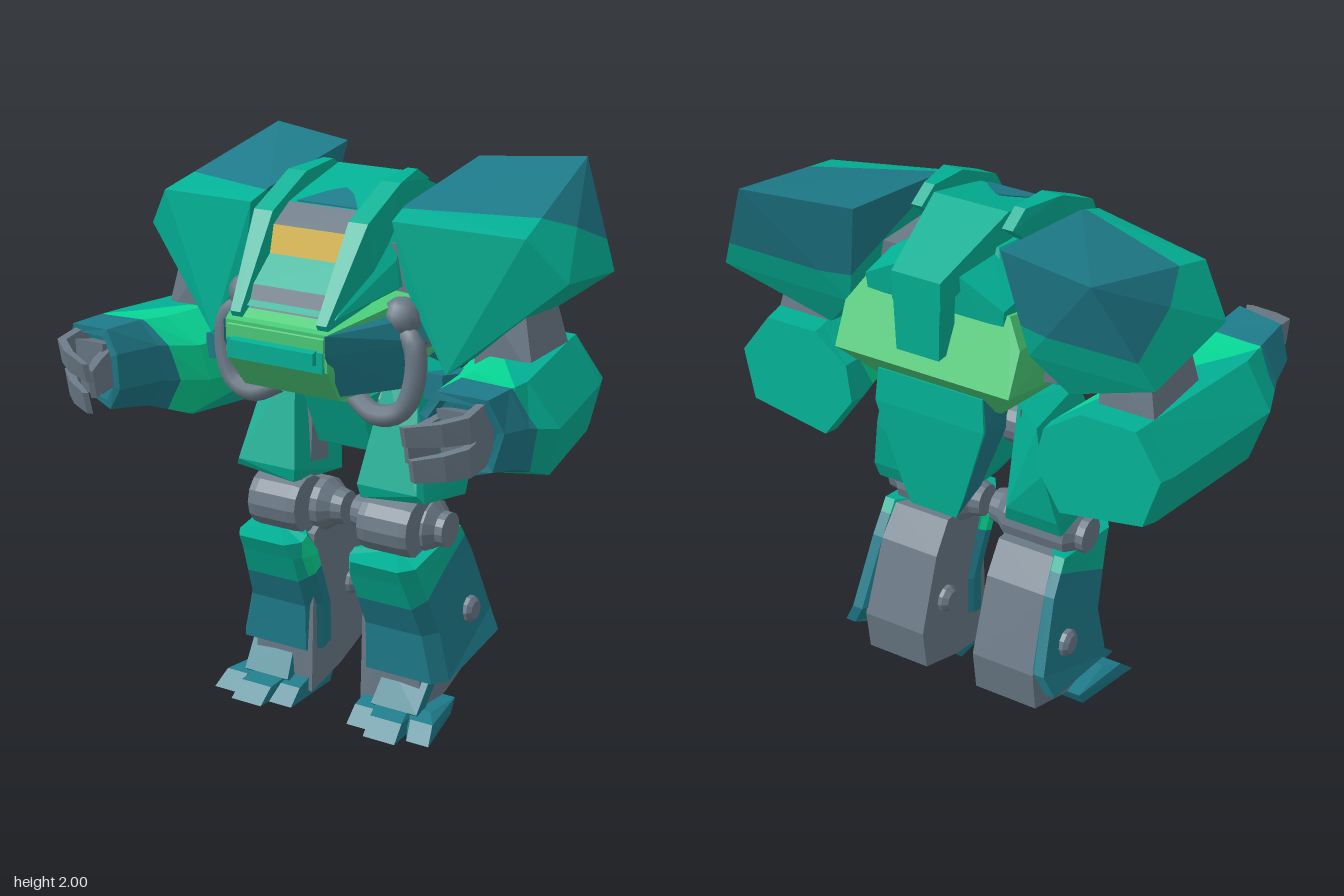
import * as THREE from 'three';
import { ConvexGeometry } from 'three/addons/geometries/ConvexGeometry.js';

const mat = (name, color) => Object.assign(new THREE.MeshStandardMaterial({ color }), { name });
const M = {
  green: mat('teal green', 0x02b095), bright: mat('bright green', 0x06d896),
  blue: mat('deep teal blue', 0x1e7b8a), lime: mat('lime green', 0x4acb78),
  gray: mat('joint gray', 0x6a7986), yellow: mat('visor yellow', 0xd8b646),
};

function part(group, name, geo, material) {
  const mesh = new THREE.Mesh(geo, material);
  mesh.name = name;
  group.add(mesh);
}
function flat(geo) {
  const g = geo.index ? geo.toNonIndexed() : geo;
  g.computeVertexNormals();
  return g;
}
const fromTriangles = (pts) => flat(new THREE.BufferGeometry().setFromPoints(pts));
// Convex armour block, s mirrors x
const hull = (pts, s = 1) => new ConvexGeometry(pts.map(([x, y, z]) => new THREE.Vector3(x * s, y, z)));
// Convex block symmetric about x = 0
const symHull = (pts) => hull(pts.flatMap(([x, y, z]) => [[x, y, z], [-x, y, z]]));
// Corners of a slab between x0 and x1 over a [z, y] side profile
const slab = (x0, x1, profile) => profile.flatMap(([z, y]) => [[x0, y, z], [x1, y, z]]);

// Capped skin through rings of equal length, turned outward
function loft(rings, s = 1) {
  const R = rings.map((r) => r.map(([x, y, z]) => new THREE.Vector3(x * s, y, z)));
  const n = R[0].length, last = R[R.length - 1], tris = [];
  const center = (r) => r.reduce((a, p) => a.add(p), new THREE.Vector3()).divideScalar(n);
  const c0 = center(R[0]), c1 = center(last);
  for (let j = 0; j < n; j++) {
    const k = (j + 1) % n;
    for (let i = 0; i < R.length - 1; i++) {
      tris.push([R[i][j], R[i][k], R[i + 1][k]], [R[i][j], R[i + 1][k], R[i + 1][j]]);
    }
    tris.push([c0, R[0][k], R[0][j]], [c1, last[j], last[k]]);
  }
  const volume = tris.reduce((v, [a, b, c]) => v + a.clone().sub(c0).dot(
    b.clone().sub(c0).cross(c.clone().sub(c0))), 0);
  return fromTriangles(tris.flatMap(([a, b, c]) => (volume > 0 ? [a, b, c] : [a, c, b])));
}

// Cut the skin by planes [normal, d] in turn: points beyond plane i take material i, the rest the last one
function paint(geo, cuts) {
  const pos = geo.attributes.position, bins = [];
  let rest = Array.from({ length: pos.count }, (_, i) => new THREE.Vector3().fromBufferAttribute(pos, i));
  for (const [normal, d] of cuts) {
    const n = new THREE.Vector3(...normal), out = [[], []];
    for (let i = 0; i < rest.length; i += 3) {
      [1, -1].forEach((sign, side) => {
        const poly = [];
        for (let k = 0; k < 3; k++) {
          const a = rest[i + k], b = rest[i + (k + 1) % 3];
          const da = sign * (n.dot(a) - d), db = sign * (n.dot(b) - d);
          if (da >= 0) poly.push(a);
          if (da * db < 0) poly.push(a.clone().lerp(b, da / (da - db)));
        }
        for (let k = 1; k + 1 < poly.length; k++) out[side].push(poly[0], poly[k], poly[k + 1]);
      });
    }
    bins.push(out[0]);
    rest = out[1];
  }
  bins.push(rest);
  const g = fromTriangles(bins.flat());
  let start = 0;
  bins.forEach((b, i) => { g.addGroup(start, b.length, i); start += b.length; });
  return g;
}

// Round joint along x, profile given as [radius, x]
function axle(profile, y, z, s, sides = 14) {
  const g = new THREE.LatheGeometry(profile.map(([r, x]) => new THREE.Vector2(r, x)), sides);
  g.rotateZ(-Math.PI / 2);
  if (s < 0) g.rotateY(Math.PI);
  return flat(g.translate(0, y, z));
}

function buildTorso(g) {
  part(g, 'torsoBody', symHull([[0.27, 1.72, -0.45], [0.33, 1.63, -0.49], [0.33, 1.49, -0.56], [0.22, 1.33, -0.42],
    [0.2, 1.53, 0.375], [0.2, 1.4, 0.37], [0.19, 1.28, 0.28], [0.32, 1.6, 0.04], [0.27, 1.3, 0]]), M.lime);
  part(g, 'upperTorso', symHull([[0.26, 1.72, 0.03], [0.21, 1.76, -0.3], [0.2, 1.86, -0.05], [0.14, 1.86, -0.3],
    [0.2, 1.57, 0.32], [0.28, 1.63, 0.05], [0.22, 1.6, -0.4]]), M.green);
  part(g, 'rearDeck', symHull([[0.27, 1.76, -0.29], [0.26, 1.74, -0.47], [0.1, 1.86, -0.28], [0.1, 1.83, -0.48],
    [0.25, 1.6, -0.3], [0.25, 1.6, -0.46]]), M.green);
  part(g, 'shoulderYoke', hull(slab(-0.36, 0.36, [[0.02, 1.77], [-0.3, 1.77], [-0.3, 1.42], [0.02, 1.42]])), M.gray);
  part(g, 'shoulderBeam', hull(slab(-0.6, 0.6, [[-0.08, 1.68], [-0.26, 1.68], [-0.26, 1.52], [-0.08, 1.52]])), M.gray);

  // Canopy: hatch, visor and nose strips between points [z, y, half width]
  const strips = [
    ['backPlate', M.green, [-0.57, 1.56, 0.08], [-0.57, 1.84, 0.09]],
    ['rearHatch', M.green, [-0.57, 1.84, 0.09], [-0.24, 1.96, 0.14]],
    ['roofHatch', M.green, [-0.24, 1.96, 0.14], [0.06, 1.875, 0.155]],
    ['upperFrame', M.gray, [0.06, 1.875, 0.155], [0.155, 1.815, 0.155]],
    ['visor', M.yellow, [0.155, 1.815, 0.155], [0.18, 1.72, 0.155]],
    ['nosePanel', M.green, [0.18, 1.72, 0.155], [0.28, 1.635, 0.155]],
    ['lowerFrame', M.gray, [0.28, 1.635, 0.155], [0.31, 1.56, 0.155]],
    ['chinPanel', M.lime, [0.31, 1.56, 0.19], [0.38, 1.515, 0.19]],
  ];
  for (const [name, m, a, b] of strips) {
    const dz = a[0] === b[0] ? 0.09 : 0, dy = dz ? 0 : -0.1;
    part(g, name, symHull([a, b].flatMap(([z, y, w]) => [[w, y, z], [w, y + dy, z + dz]])), m);
  }
  part(g, 'roofMark', symHull([[0.12, 1.882, 0.055], [0, 1.917, -0.07], [0.05, 1.907, -0.035],
    [0.12, 1.874, 0.055], [0, 1.909, -0.07]]), M.blue);
  part(g, 'noseBand', hull(slab(-0.19, 0.19, [[0.384, 1.47], [0.384, 1.4], [0.35, 1.4], [0.35, 1.47]])), M.green);
  part(g, 'noseBumper', hull(slab(-0.165, 0.165, [[0.36, 1.48], [0.405, 1.47], [0.405, 1.43], [0.36, 1.42]])), M.green);

  // Pelvis and tail armour
  part(g, 'waist', symHull([[0.13, 1.34, 0.12], [0.11, 1.19, 0.04], [0.13, 1.34, -0.35], [0.11, 1.19, -0.3]]), M.lime);
  part(g, 'pelvis', symHull([[0.12, 1.2, 0.03], [0.12, 1.2, -0.35], [0.11, 0.99, -0.06], [0.07, 0.93, -0.2],
    [0.07, 0.95, -0.35]]), M.green);
  part(g, 'hipAxle', axle([[0, -0.26], [0.08, -0.26], [0.08, 0.26], [0, 0.26]], 1.14, -0.16, 1), M.gray);
  part(g, 'tailArmour', paint(symHull([[0.2, 1.42, -0.505], [0.18, 1.42, -0.3], [0.21, 1.3, -0.515], [0.12, 1.0, -0.504],
    [0.09, 0.92, -0.5], [0.09, 0.96, -0.34], [0.17, 1.2, -0.31]]), [[[0, 0, -1], 0.497]]), [M.green, M.blue]);
}

function buildTorsoSide(g, s) {
  part(g, 'canopyRail', hull([...slab(0.15, 0.19, [[-0.3, 1.93], [-0.22, 1.975], [0.36, 1.555], [0.33, 1.5]]),
    ...slab(0.15, 0.225, [[-0.05, 1.96], [0.16, 1.86], [0.1, 1.6]])], s), M.green);
  part(g, 'cheekArmour', hull([[0.2, 1.53, 0.385], [0.2, 1.46, 0.385], [0.28, 1.56, 0.12], [0.37, 1.54, 0.02],
    [0.39, 1.46, 0.05], [0.36, 1.3, 0.06], [0.2, 1.3, 0.29], [0.2, 1.5, 0.05]], s), M.blue);
  part(g, 'hoseSocket', new THREE.SphereGeometry(0.07, 12, 8).translate(0.31 * s, 1.54, 0.08), M.gray);
  const path = new THREE.CatmullRomCurve3([[0.31, 1.5, 0.09], [0.375, 1.46, 0.11], [0.385, 1.34, 0.12], [0.34, 1.23, 0.13],
    [0.25, 1.205, 0.14], [0.15, 1.25, 0.12]].map(([x, y, z]) => new THREE.Vector3(x * s, y, z)));
  part(g, 'hose', new THREE.TubeGeometry(path, 20, 0.038, 8), M.gray);
}

function buildArm(g, s) {
  // Shoulder pod with a painted roof and back
  part(g, 'shoulderPod', paint(hull([[0.64, 2.0, -0.61], [0.27, 1.98, -0.51], [0.27, 1.9, 0.0], [0.28, 1.865, 0.1],
    [0.72, 1.84, 0], [0.84, 1.69, -0.08], [0.81, 1.64, -0.5], [0.475, 1.36, 0.07], [0.46, 1.47, -0.4],
    [0.34, 1.6, -0.45], [0.32, 1.65, 0.08]], s), [[[-0.12 * s, 1, -0.386], 1.853]]), [M.blue, M.green]);

  part(g, 'upperArm', hull([[0.52, 1.66, -0.03], [0.69, 1.62, -0.06], [0.52, 1.6, -0.3], [0.69, 1.58, -0.3],
    [0.53, 1.36, -0.03], [0.75, 1.36, -0.03], [0.53, 1.36, -0.34], [0.74, 1.36, -0.34]], s), M.gray);
  part(g, 'elbowPlate', hull([[0.41, 1.37, 0.1], [0.48, 1.37, 0.1], [0.41, 1.28, 0.1], [0.48, 1.28, 0.1],
    [0.44, 1.34, -0.1], [0.52, 1.34, -0.1], [0.52, 1.28, -0.1]], s), M.blue);

  // Forearm: seven-sided sleeve toed outward, narrowing into a hollow cuff
  const wide = [[0.62, 1.42], [0.82, 1.42], [0.93, 1.27], [0.88, 1.09], [0.56, 1.04], [0.45, 1.2], [0.48, 1.33]];
  const cuff = [[0.65, 1.44], [0.82, 1.43], [0.865, 1.32], [0.82, 1.18], [0.67, 1.14], [0.6, 1.23], [0.6, 1.36]];
  const ring = (t, z, lean, dx, yaw = 0) => wide.map(([x, y], i) => [x + (cuff[i][0] - x) * t + dx,
    y + (cuff[i][1] - y) * t, z + lean * (y - 1.25) - yaw * (x - 0.7)]);
  const mouth = ring(1, 0.42, 0.1, 0, 0.14);
  const inset = (depth) => mouth.map(([x, y, z]) => [x + (0.73 - x) * 0.2, y + (1.3 - y) * 0.2, z - depth]);
  part(g, 'forearm', paint(loft([ring(0.12, -0.44, 0.1, -0.11), ring(0, -0.38, 0.1, -0.1), ring(0.05, 0.12, 0.2, 0),
    ring(0.7, 0.26, 0.1, 0), mouth, inset(0), inset(0.07)], s),
  [[[0, -0.25, 1], -0.1], [[-0.39 * s, 0.16, 0.26], -0.03]]), [M.blue, M.bright, M.green]);

  // Hand with two broad fingers and an opposing thumb
  part(g, 'palm', hull([[0.66, 1.39, 0.46], [0.8, 1.39, 0.46], [0.8, 1.2, 0.45], [0.68, 1.2, 0.45],
    [0.67, 1.36, 0.34], [0.8, 1.36, 0.34], [0.8, 1.22, 0.33], [0.68, 1.22, 0.33]], s), M.gray);
  const digit = (name, path, y, h) => {
    const rings = path.map(([x, z, t], i) => [[x, y - 0.02 * i, z], [x - t, y - 0.02 * i, z - t * 0.4],
      [x - t, y - h - 0.01 * i, z - t * 0.4 - 0.02], [x, y - h - 0.01 * i, z - 0.02]]);
    part(g, name, loft(rings, s), M.gray);
  };
  digit('upperFinger', [[0.81, 0.4, 0.03], [0.81, 0.52, 0.03], [0.74, 0.57, 0.03], [0.63, 0.61, 0.02]], 1.42, 0.1);
  digit('lowerFinger', [[0.8, 0.38, 0.03], [0.8, 0.5, 0.03], [0.74, 0.55, 0.03], [0.65, 0.59, 0.02]], 1.31, 0.11);
  digit('thumb', [[0.69, 0.4, 0.03], [0.66, 0.52, 0.03], [0.63, 0.59, 0.02]], 1.37, 0.12);
}

function buildLeg(g, s) {
  part(g, 'thighCore', hull([[0.14, 1.28, -0.08], [0.22, 1.28, -0.3], [0.14, 0.85, -0.05], [0.32, 0.85, -0.05],
    [0.15, 0.82, -0.2], [0.3, 0.82, -0.2], [0.25, 1.2, -0.1]], s), M.gray);
  part(g, 'thighArmour', hull([[0.19, 1.3, -0.03], [0.3, 1.28, -0.05], [0.2, 1.3, -0.28], [0.3, 1.25, -0.33],
    [0.13, 0.91, 0.07], [0.37, 0.91, 0.07], [0.14, 0.86, 0.06], [0.39, 0.88, 0.05], [0.15, 0.81, -0.28], [0.33, 1.08, -0.34],
    [0.37, 0.81, -0.28], [0.37, 0.88, -0.31], [0.17, 0.88, -0.31]], s), M.green);
  part(g, 'kneeDrum', axle([[0, 0.13], [0.105, 0.13], [0.11, 0.16], [0.11, 0.3], [0.105, 0.33], [0, 0.33]], 0.75, -0.03, s), M.gray);
  part(g, 'kneeAxle', axle([[0, 0.02], [0.06, 0.02], [0.07, 0.06], [0.1, 0.1], [0.1, 0.34], [0.065, 0.37], [0.065, 0.4],
    [0, 0.4]], 0.73, -0.12, s), M.gray);

  // Shin armour wraps the front and outer side, flaring to the ankle
  const section = ([yf, zf, yb, zb, xi, xo]) => [[xi, yf + (yb - yf) * 0.25, zf + (zb - zf) * 0.25], [xi, yf, zf - 0.06],
    [xi + 0.04, yf, zf], [xo - 0.04, yf, zf], [xo, yf, zf - 0.06], [xo, yb, zb], [xo - 0.04, yb, zb]];
  part(g, 'shinArmour', paint(loft([
    [0.18, 0.0, 0.24, -0.43, 0.09, 0.44], [0.36, 0.005, 0.32, -0.44, 0.09, 0.4],
    [0.58, 0.1, 0.58, -0.33, 0.08, 0.375], [0.64, 0.13, 0.7, -0.25, 0.1, 0.37],
  ].map(section), s), [[[0, -1, -0.53], -0.505], [[-s, 0, 0], -0.1]]), [M.blue, M.bright, M.green]);
  part(g, 'shinBolt', axle([[0, 0.07], [0.035, 0.07], [0.05, 0.09], [0.05, 0.41], [0.035, 0.425], [0, 0.425]], 0.37, -0.28, s, 10), M.gray);
  part(g, 'lowerLeg', hull(slab(0.105, 0.35, [[-0.02, 0.64], [-0.1, 0.69], [-0.25, 0.69], [-0.33, 0.58], [-0.43, 0.3],
    [-0.41, 0.14], [-0.2, 0.06], [0, 0.02], [-0.06, 0.2]]), s), M.gray);

  // Ankle guard and splayed toes
  part(g, 'ankleGuard', hull([[0.2, 0.21, -0.04], [0.38, 0.21, -0.05], [0.18, 0.07, 0.05], [0.37, 0.07, 0.05],
    [0.2, 0.19, -0.08], [0.38, 0.19, -0.1], [0.18, 0.03, 0.0], [0.36, 0.03, 0.0]], s), M.blue);
  const toe = (name, x0, x1, z, skew) => part(g, name, hull([[x0 + skew, 0, z], [x1 + skew, 0, z],
    [x0 + skew * 0.7, 0.055, z - 0.06], [x1 + skew * 0.7, 0.055, z - 0.06], [x0, 0.07, z - 0.12], [x1, 0.07, z - 0.12],
    [x0, 0.055, -0.18], [x1, 0.055, -0.18], [x0, 0, -0.15], [x1, 0, -0.15]], s), M.blue);
  toe('innerToe', 0.12, 0.22, 0.12, 0);
  toe('middleToe', 0.2, 0.33, 0.17, 0.02);
  toe('outerToe', 0.31, 0.4, 0.12, 0.06);
}

export function createModel() {
  const model = new THREE.Group();
  model.name = 'walkerMech';
  const group = (name) => {
    const g = Object.assign(new THREE.Group(), { name });
    model.add(g);
    return g;
  };
  buildTorso(group('torso'));
  for (const [side, s] of [['left', 1], ['right', -1]]) {
    buildTorsoSide(group(side + 'TorsoSide'), s);
    buildArm(group(side + 'Arm'), s);
    buildLeg(group(side + 'Leg'), s);
  }
  return model;
}
